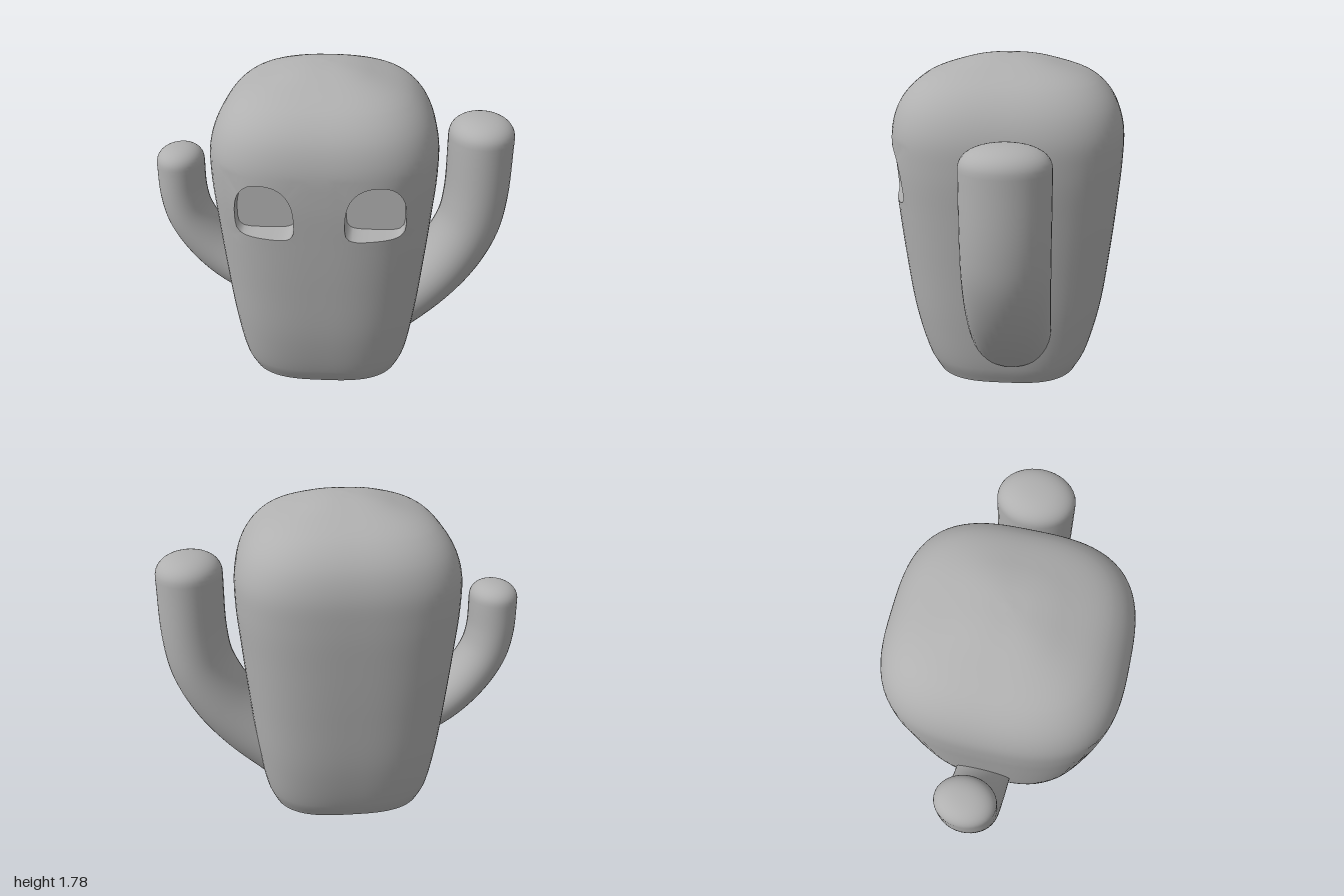
import * as THREE from 'three';
import { mergeVertices } from 'three/addons/utils/BufferGeometryUtils.js';

const CENTRE_X = -0.03;
const POWER = 3;       // squareness of the body cross-section
const SEGS = 96, ROWS = 66;

// Body profile: half width in x, half depth in z, height
const profile = new THREE.CatmullRomCurve3([
  [0.45, 0.42, 0], [0.487, 0.47, 0.1], [0.53, 0.54, 0.37], [0.565, 0.583, 0.7],
  [0.592, 0.612, 1.0], [0.61, 0.63, 1.25], [0.603, 0.627, 1.42], [0.553, 0.583, 1.55],
  [0.45, 0.478, 1.66], [0.245, 0.26, 1.745], [0.12, 0.125, 1.775], [0, 0, 1.785],
].map(p => new THREE.Vector3(...p)));

// Point on the body surface at angle t and profile position v
function bodyPoint(t, v) {
  const p = profile.getPoint(v), c = Math.cos(t), s = Math.sin(t);
  const r = Math.pow(Math.abs(c) ** POWER + Math.abs(s) ** POWER, -1 / POWER);
  return [CENTRE_X + p.x * c * r, p.z, p.y * s * r];
}

// Angle and profile position of the front surface at (x, y)
function bodyCoords(x, y) {
  let lo = 0, hi = 1;
  for (let k = 0; k < 40; k++) {
    const mid = (lo + hi) / 2;
    if (profile.getPoint(mid).z < y) lo = mid; else hi = mid;
  }
  const u = (x - CENTRE_X) / profile.getPoint(lo).x;
  const w = Math.pow(1 - Math.abs(u) ** POWER, 1 / POWER);
  return [Math.atan2(w, u), lo];
}

function geometryFrom(points, index, smooth = true) {
  let g = new THREE.BufferGeometry();
  g.setAttribute('position', new THREE.Float32BufferAttribute(points.flat(), 3));
  g.setIndex(index);
  g = smooth ? mergeVertices(g, 1e-5) : g.toNonIndexed();
  g.computeVertexNormals();
  return g;
}

const quad = (index, a, b, c, d) => index.push(a, b, c, a, c, d);

// Eye opening: arched top, squarer bottom
const EYE = { y: 1.13, halfWidth: 0.153, up: 0.2, down: 0.1, back: 0.47 };
function eyeEdge(cx, angle) {
  const c = Math.cos(angle), s = Math.sin(angle);
  const n = s > 0 ? 2.4 : 4.5, h = s > 0 ? EYE.up : EYE.down;
  const r = Math.pow(Math.abs(c / EYE.halfWidth) ** n + Math.abs(s / h) ** n, -1 / n);
  return [cx + c * r, EYE.y + s * r];
}

// Grid rectangle that surrounds an eye, and its border walked counter-clockwise
function eyeFrame(cx) {
  const ts = [], vs = [];
  for (let k = 0; k < 64; k++) {
    const [t, v] = bodyCoords(...eyeEdge(cx, k / 64 * Math.PI * 2));
    ts.push(t / (Math.PI * 2) * SEGS);
    vs.push(v * ROWS);
  }
  const i0 = Math.floor(Math.min(...ts) - 0.4), i1 = Math.ceil(Math.max(...ts) + 0.4);
  const j0 = Math.floor(Math.min(...vs) - 0.4), j1 = Math.ceil(Math.max(...vs) + 0.4);
  const border = [];
  for (let j = j0; j < j1; j++) border.push([i0, j]);
  for (let i = i0; i < i1; i++) border.push([i, j1]);
  for (let j = j1; j > j0; j--) border.push([i1, j]);
  for (let i = i1; i > i0; i--) border.push([i, j0]);
  return { cx, i0, i1, j0, j1, border };
}

function buildBody(frames) {
  const points = [], index = [];
  const id = (i, j) => j * SEGS + (i % SEGS);
  for (let j = 0; j <= ROWS; j++)
    for (let i = 0; i < SEGS; i++) points.push(bodyPoint(i / SEGS * Math.PI * 2, j / ROWS));
  for (let j = 0; j < ROWS; j++)
    for (let i = 0; i < SEGS; i++) {
      if (frames.some(f => i >= f.i0 && i < f.i1 && j >= f.j0 && j < f.j1)) continue;
      quad(index, id(i, j), id(i, j + 1), id(i + 1, j + 1), id(i + 1, j));
    }
  // Skin between each frame and the eye opening
  for (const f of frames) {
    const start = points.length, n = f.border.length;
    f.rim = f.border.map(([i, j]) => {
      const p = points[id(i, j)];
      const edge = eyeEdge(f.cx, Math.atan2(p[1] - EYE.y, p[0] - f.cx));
      return bodyPoint(...bodyCoords(...edge));
    });
    points.push(...f.rim);
    f.border.forEach(([i, j], k) => {
      const m = (k + 1) % n, next = f.border[m];
      quad(index, id(i, j), id(...next), start + m, start + k);
    });
  }
  return geometryFrom(points, index);
}

// Side wall and flat back of an eye socket
function buildSocket(f) {
  const n = f.rim.length;
  const back = f.rim.map(([x, y]) =>
    [f.cx + (x - f.cx) * 0.98, EYE.y + 0.02 + (y - EYE.y - 0.02) * 0.95, EYE.back]);
  const wall = [], cap = [];
  for (let k = 0; k < n; k++) {
    const m = (k + 1) % n;
    quad(wall, k, m, n + m, n + k);
    cap.push(n, k, m);
  }
  return [geometryFrom([...f.rim, ...back], wall),
    geometryFrom([...back, [f.cx, EYE.y, EYE.back]], cap)];
}

// Oval arm swept along a path, with a rounded tip
function buildArm(path, rx, rz, capHeight) {
  const curve = new THREE.CatmullRomCurve3(path.map(([x, y]) => new THREE.Vector3(x, y, -0.04)));
  const points = [], index = [], sides = 40, steps = 32, capSteps = 12;
  const ring = (c, t, s) => {
    for (let i = 0; i < sides; i++) {
      const a = i / sides * Math.PI * 2, u = Math.cos(a) * rx * s;
      points.push([c.x + t.y * u, c.y - t.x * u, c.z + Math.sin(a) * rz * s]);
    }
  };
  for (let k = 0; k <= steps; k++) ring(curve.getPoint(k / steps), curve.getTangent(k / steps), 1);
  const end = curve.getPoint(1), up = new THREE.Vector3(0, 1, 0);
  for (let k = 1; k <= capSteps; k++) {
    const a = k / capSteps * Math.PI / 2;
    const c = end.clone().addScaledVector(up, capHeight * Math.sin(a) ** 0.85);
    ring(c, up, k === capSteps ? 0 : Math.cos(a) ** 0.85);
  }
  for (let j = 0; j < steps + capSteps; j++)
    for (let i = 0; i < sides; i++) {
      const m = (i + 1) % sides, a = j * sides, b = a + sides;
      quad(index, a + i, b + i, b + m, a + m);
    }
  return geometryFrom(points, index);
}

export function createModel() {
  const model = new THREE.Group();
  const grey = new THREE.MeshStandardMaterial({ color: 0xb0b0b0, side: THREE.DoubleSide });
  grey.name = 'grey';
  const add = (name, geometry) => {
    const mesh = new THREE.Mesh(geometry, grey);
    mesh.name = name;
    model.add(mesh);
    return mesh;
  };

  // Body and eye sockets
  const frames = [CENTRE_X - 0.28, CENTRE_X + 0.28].map(eyeFrame);
  add('body', buildBody(frames));
  frames.forEach((f, k) => {
    const side = k ? 'left' : 'right';
    const [wall, back] = buildSocket(f);
    add(side + 'EyeWall', wall);
    add(side + 'EyeBack', back);
  });

  // Flat base with a square hole
  const outline = [];
  for (let i = 0; i < SEGS; i++) {
    const [x, , z] = bodyPoint(i / SEGS * Math.PI * 2, 0);
    outline.push(new THREE.Vector2(x, z));
  }
  const base = new THREE.Shape(outline), h = 0.088;
  base.holes.push(new THREE.Path([[-h, -h], [-h, h], [h, h], [h, -h]]
    .map(([x, z]) => new THREE.Vector2(CENTRE_X + x, z))));
  add('base', new THREE.ShapeGeometry(base).rotateX(Math.PI / 2));

  const shaft = new THREE.CylinderGeometry(h * Math.SQRT2, h * Math.SQRT2, 0.5, 4, 1, true)
    .rotateY(Math.PI / 4).translate(CENTRE_X, 0.25, 0).toNonIndexed();
  shaft.computeVertexNormals();
  add('baseHoleWall', shaft);
  add('baseHoleTop', new THREE.PlaneGeometry(2 * h, 2 * h)
    .rotateX(Math.PI / 2).translate(CENTRE_X, 0.5, 0));

  // Arms
  add('leftArm', buildArm(
    [[0.36, 0.27], [0.55, 0.45], [0.69, 0.63], [0.785, 0.83], [0.817, 1.02], [0.82, 1.36]],
    0.18, 0.22, 0.12));
  add('rightArm', buildArm(
    [[-0.43, 0.43], [-0.62, 0.56], [-0.75, 0.7], [-0.835, 0.85], [-0.865, 0.99], [-0.867, 1.17]],
    0.133, 0.163, 0.1));

  return model;
}
